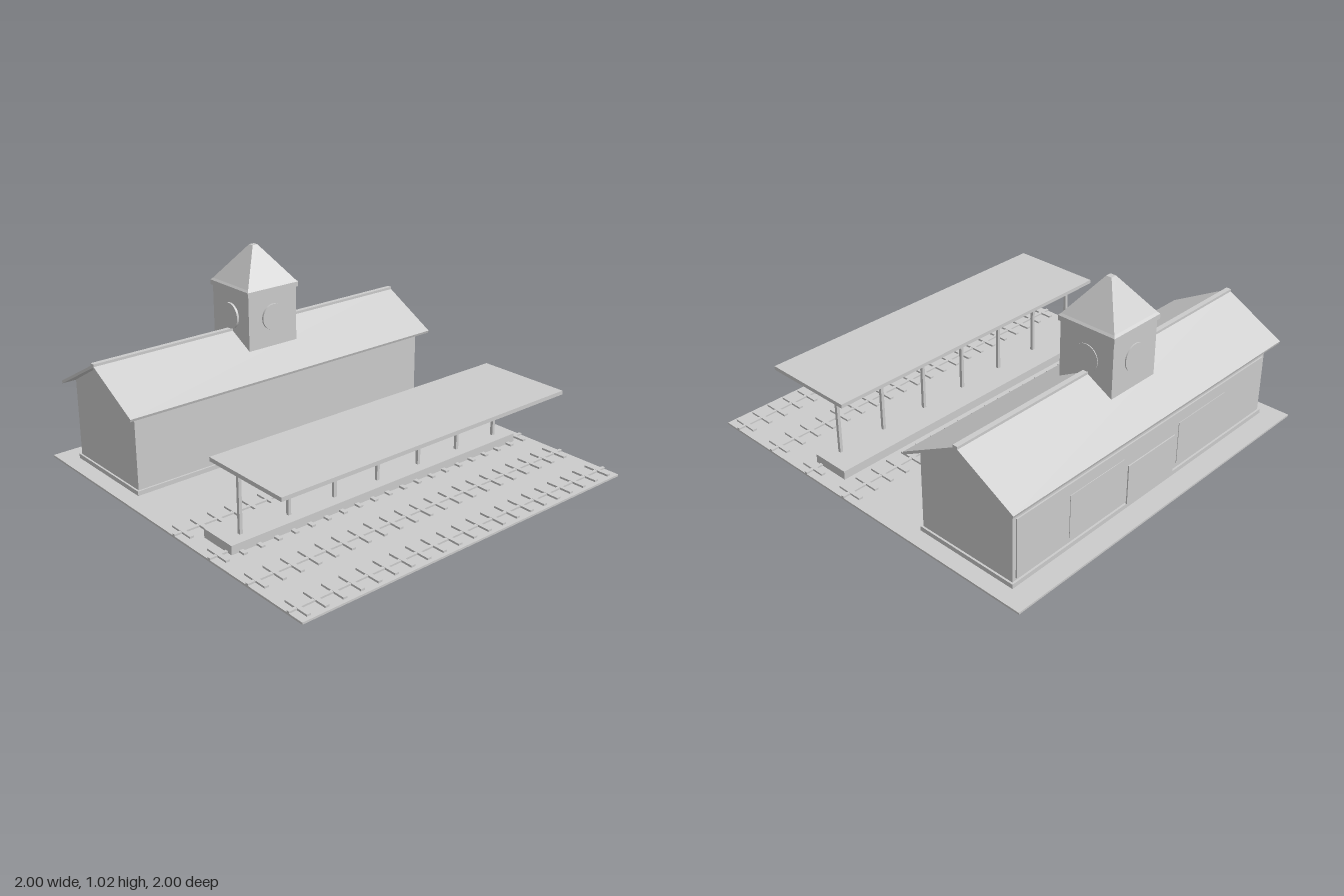
import * as THREE from 'three';

const grey = new THREE.MeshStandardMaterial({ color: 0xcccccc });
grey.name = 'plain grey';

function add(parent, name, geometry) {
  const mesh = new THREE.Mesh(geometry, grey);
  mesh.name = name;
  parent.add(mesh);
  return mesh;
}

// Box given by its lower and upper limits on each axis
function box(parent, name, [x0, x1], [y0, y1], [z0, z1]) {
  const mesh = add(parent, name, new THREE.BoxGeometry(x1 - x0, y1 - y0, z1 - z0));
  mesh.position.set((x0 + x1) / 2, (y0 + y1) / 2, (z0 + z1) / 2);
  return mesh;
}

// Profile of [z, y] points extruded along x
function extrudeX(parent, name, points, half) {
  const shape = new THREE.Shape(points.map(([z, y]) => new THREE.Vector2(z, y)));
  const geometry = new THREE.ExtrudeGeometry(shape, { depth: 2 * half, bevelEnabled: false });
  geometry.rotateY(-Math.PI / 2).translate(half, 0, 0);
  return add(parent, name, geometry);
}

// Square tapering block, sides parallel to the axes
function taper(parent, name, halfTop, halfBottom, y0, y1, z) {
  const r = Math.SQRT2;
  const indexed = new THREE.CylinderGeometry(halfTop * r, halfBottom * r, y1 - y0, 4);
  const geometry = indexed.toNonIndexed();
  geometry.computeVertexNormals();
  geometry.rotateY(Math.PI / 4);
  add(parent, name, geometry).position.set(0, (y0 + y1) / 2, z);
}

function group(parent, name) {
  const g = new THREE.Group();
  g.name = name;
  parent.add(g);
  return g;
}

function buildTracks(model) {
  for (const z of [0.1, 0.37, 0.64, 0.91]) {
    const track = group(model, 'track');
    box(track, 'rail', [-1, 1], [0.01, 0.019], [z - 0.008, z + 0.008]);
    for (let i = 0; i < 21; i++) {
      const x = -0.95 + i * 0.095;
      box(track, 'sleeper', [x - 0.011, x + 0.011], [0.01, 0.02], [z - 0.07, z + 0.07]);
    }
  }
}

function buildPlatform(model) {
  const platform = group(model, 'platform');
  box(platform, 'platformSlab', [-0.905, 0.905], [0.01, 0.055], [0.2, 0.405]);
  for (let i = -3; i <= 3; i++) {
    const x = i * 0.27;
    box(platform, 'canopyPost', [x - 0.008, x + 0.008], [0.055, 0.382], [0.332, 0.348]);
  }
  box(platform, 'canopy', [-0.875, 0.875], [0.38, 0.4], [0.22, 0.72]);
}

function buildStation(model) {
  const station = group(model, 'stationHouse');
  const ridge = -0.607;
  box(station, 'plinth', [-0.915, 0.915], [0.01, 0.033], [-0.885, -0.33]);
  extrudeX(station, 'walls', [
    [-0.34, 0.01], [-0.34, 0.436], [ridge, 0.588], [-0.875, 0.436], [-0.875, 0.01],
  ], 0.905);

  // Two thin roof slopes meeting at the ridge
  extrudeX(station, 'roof', [
    [ridge + 0.32, 0.427], [ridge, 0.602], [ridge - 0.32, 0.427],
    [ridge - 0.316, 0.414], [ridge, 0.587], [ridge + 0.316, 0.414],
  ].reverse(), 0.955);
  box(station, 'ridgeCap', [-0.955, 0.955], [0.594, 0.608], [ridge - 0.013, ridge + 0.013]);

  // Shallow panels on the back wall
  const panels = group(station, 'backWallPanels');
  box(panels, 'backPanel', [-0.885, 0.885], [0.045, 0.35], [-0.882, -0.874]);
  box(panels, 'backDoor', [-0.17, 0.17], [0.033, 0.24], [-0.888, -0.88]);
  for (const s of [-1, 1]) {
    const xs = [s * 0.2, s * 0.56].sort((a, b) => a - b);
    box(panels, 'backWindow', xs, [0.065, 0.29], [-0.885, -0.88]);
  }
}

function buildTower(model) {
  const tower = group(model, 'clockTower');
  const z = -0.605, half = 0.151;
  box(tower, 'towerShaft', [-half, half], [0.5, 0.81], [z - half, z + half]);
  box(tower, 'cornice', [-0.16, 0.16], [0.805, 0.83], [z - 0.16, z + 0.16]);
  taper(tower, 'corniceTop', 0.15, 0.16, 0.83, 0.84, z);
  taper(tower, 'spire', 0.015, 0.15, 0.84, 1.02, z);

  // Clock faces: front, left, back, right; each stands a little off the wall
  [0.01, 0.004, 0.006, 0.012].forEach((depth, i) => {
    const disc = new THREE.CylinderGeometry(0.068, 0.068, depth, 40);
    disc.rotateX(Math.PI / 2).translate(0, 0, half + depth / 2);
    disc.rotateY(i * Math.PI / 2);
    add(tower, 'clockFace', disc).position.set(0, 0.675, z);
  });
}

export function createModel() {
  const model = new THREE.Group();
  model.name = 'railwayStation';
  box(model, 'ground', [-1, 1], [0, 0.01], [-1, 1]);
  buildTracks(model);
  buildPlatform(model);
  buildStation(model);
  buildTower(model);
  return model;
}
